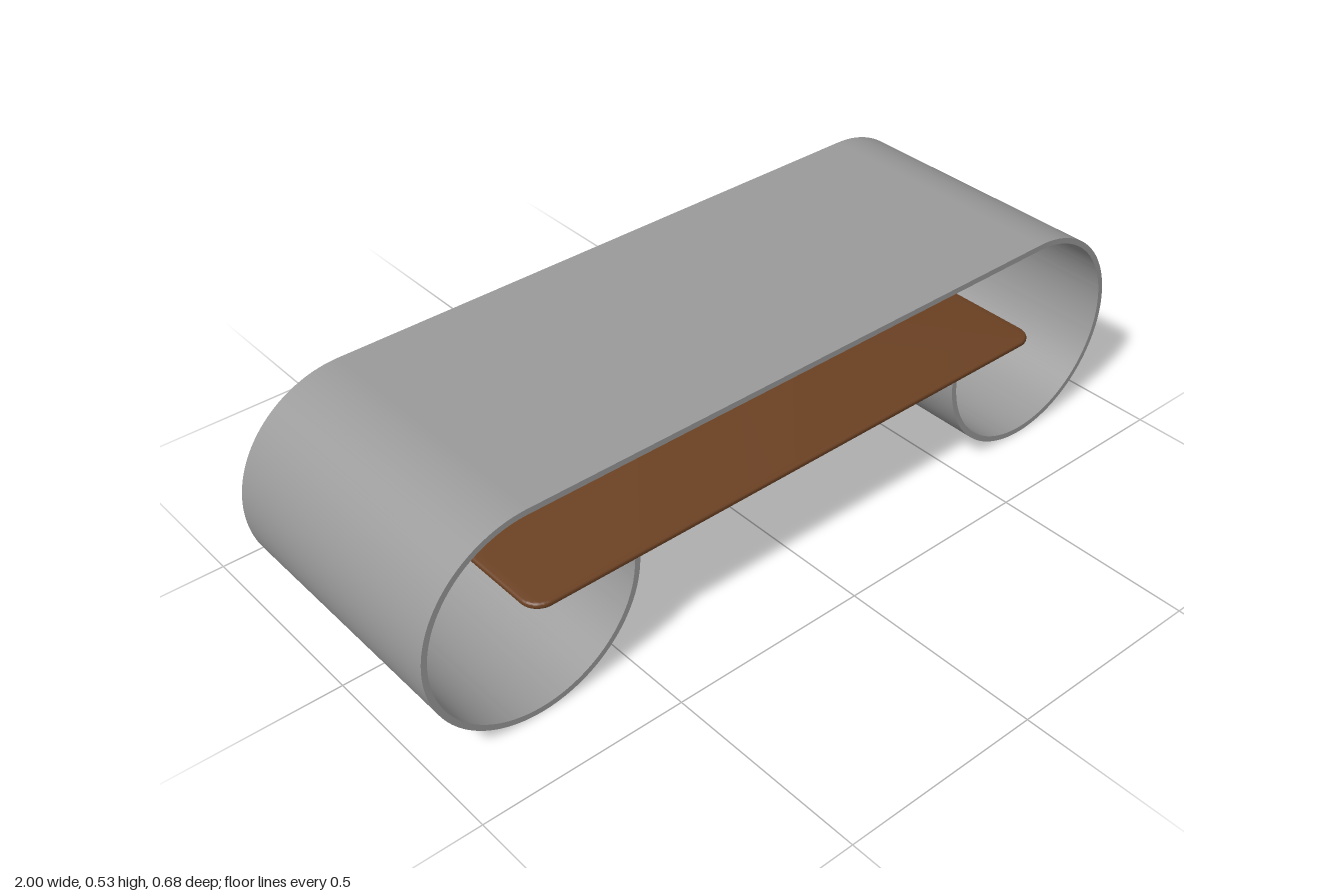
import * as THREE from 'three';
import { toCreasedNormals } from 'three/addons/utils/BufferGeometryUtils.js';

const R = 0.267;        // outer radius of the curled ends
const T = 0.014;        // shell thickness
const CX = 1 - R;       // curl centre, mirrored in x
const DEPTH = 0.667;

// One continuous strip: left curl, flat top, right curl
function shellGeometry() {
  const r = R - T, PI = Math.PI;
  const s = new THREE.Shape();
  s.moveTo(-CX + R, R);
  s.absarc(-CX, R, R, 0, -1.5 * PI, true);
  s.absarc(CX, R, R, PI / 2, -PI, true);
  s.absarc(CX, R, r, -PI, PI / 2, false);
  s.absarc(-CX, R, r, PI / 2, 2 * PI, false);
  s.closePath();
  const g = new THREE.ExtrudeGeometry(s, { depth: DEPTH, bevelEnabled: false, curveSegments: 64 });
  g.translate(0, 0, -DEPTH / 2);
  return toCreasedNormals(g, 0.5);
}

// Thin board with rounded corners and half-round edges
function shelfGeometry() {
  const b = 0.0075, depth = 0.001;
  const w = 0.741 - b, d = 0.341 - b, c = 0.045 - b, PI = Math.PI;
  const s = new THREE.Shape();
  s.absarc(w - c, d - c, c, 0, PI / 2, false);
  s.absarc(-w + c, d - c, c, PI / 2, PI, false);
  s.absarc(-w + c, -d + c, c, PI, 1.5 * PI, false);
  s.absarc(w - c, -d + c, c, 1.5 * PI, 2 * PI, false);
  s.closePath();
  const g = new THREE.ExtrudeGeometry(s, {
    depth, bevelThickness: b, bevelSize: b, bevelSegments: 6, curveSegments: 10,
  });
  g.translate(0, 0, -depth / 2);
  g.rotateX(-PI / 2);
  return toCreasedNormals(g, 0.5);
}

export function createModel() {
  const grey = new THREE.MeshStandardMaterial({ color: 0x9a9a9a });
  grey.name = 'grey shell';
  const brown = new THREE.MeshStandardMaterial({ color: 0x6b4123 });
  brown.name = 'brown wood';

  const model = new THREE.Group();
  model.name = 'coffeeTable';

  const shell = new THREE.Mesh(shellGeometry(), grey);
  shell.name = 'curledShell';

  const shelf = new THREE.Mesh(shelfGeometry(), brown);
  shelf.name = 'shelf';
  shelf.position.y = 0.279;

  model.add(shell, shelf);
  return model;
}
